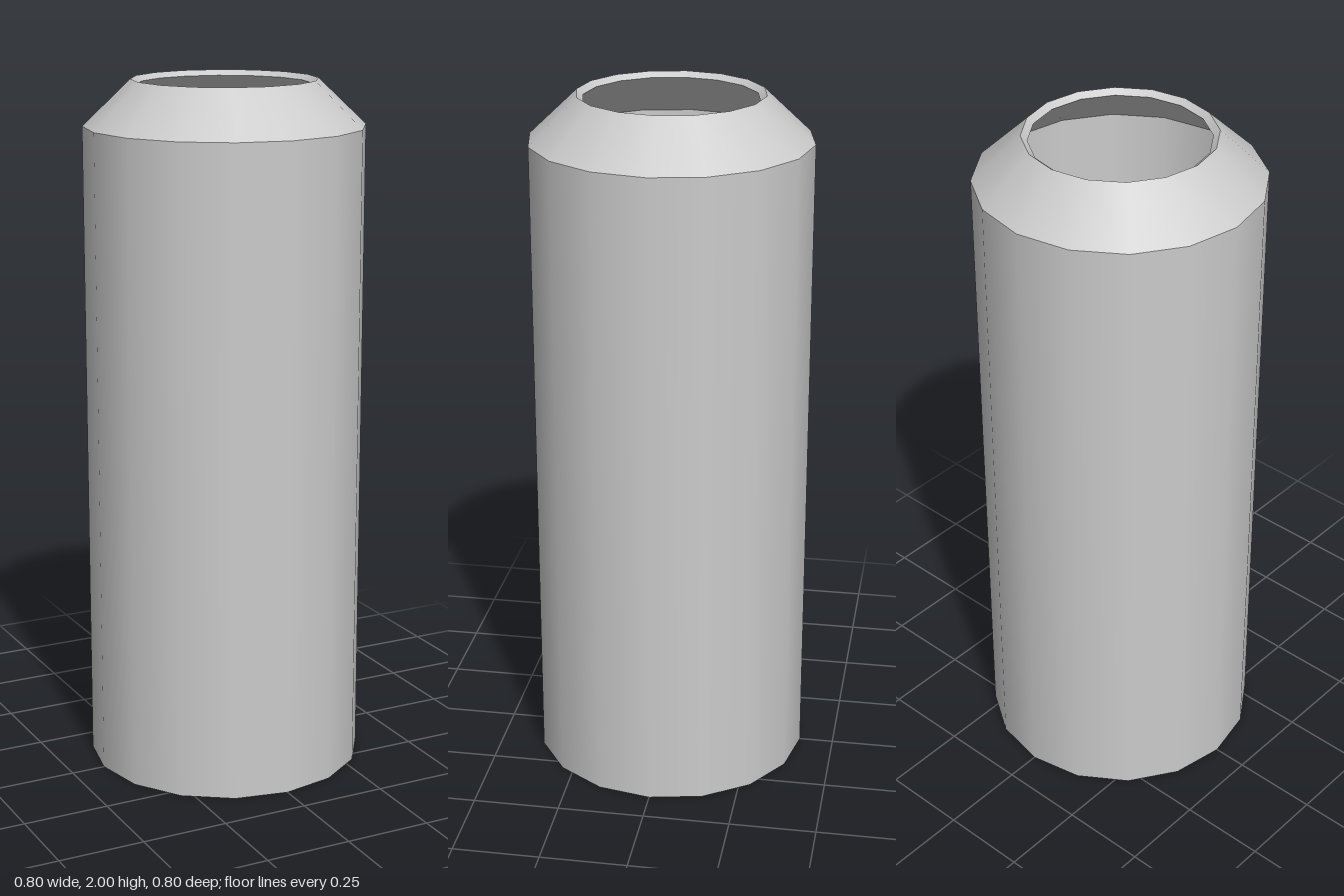
import * as THREE from 'three';

const SIDES = 16;

// One band of the vessel: smooth around, with sharp edges to its neighbours.
function band(name, from, to, material) {
  const points = [new THREE.Vector2(...from), new THREE.Vector2(...to)];
  const mesh = new THREE.Mesh(new THREE.LatheGeometry(points, SIDES), material);
  mesh.name = name;
  return mesh;
}

export function createModel() {
  const group = new THREE.Group();
  group.name = 'canister';
  const material = new THREE.MeshStandardMaterial({ color: 0xcccccc });

  // Closed thin-walled profile [radius, height]: up the outside, down the inside
  const profile = [
    [0, 0], [0.4, 0], [0.4, 1.87], [0.264, 2],
    [0.246, 1.985], [0.375, 1.86], [0.375, 0.025], [0, 0.025],
  ];
  const names = [
    'base', 'outerWall', 'shoulder', 'rim',
    'innerShoulder', 'innerWall', 'innerFloor',
  ];
  names.forEach((name, i) => group.add(band(name, profile[i], profile[i + 1], material)));

  return group;
}
